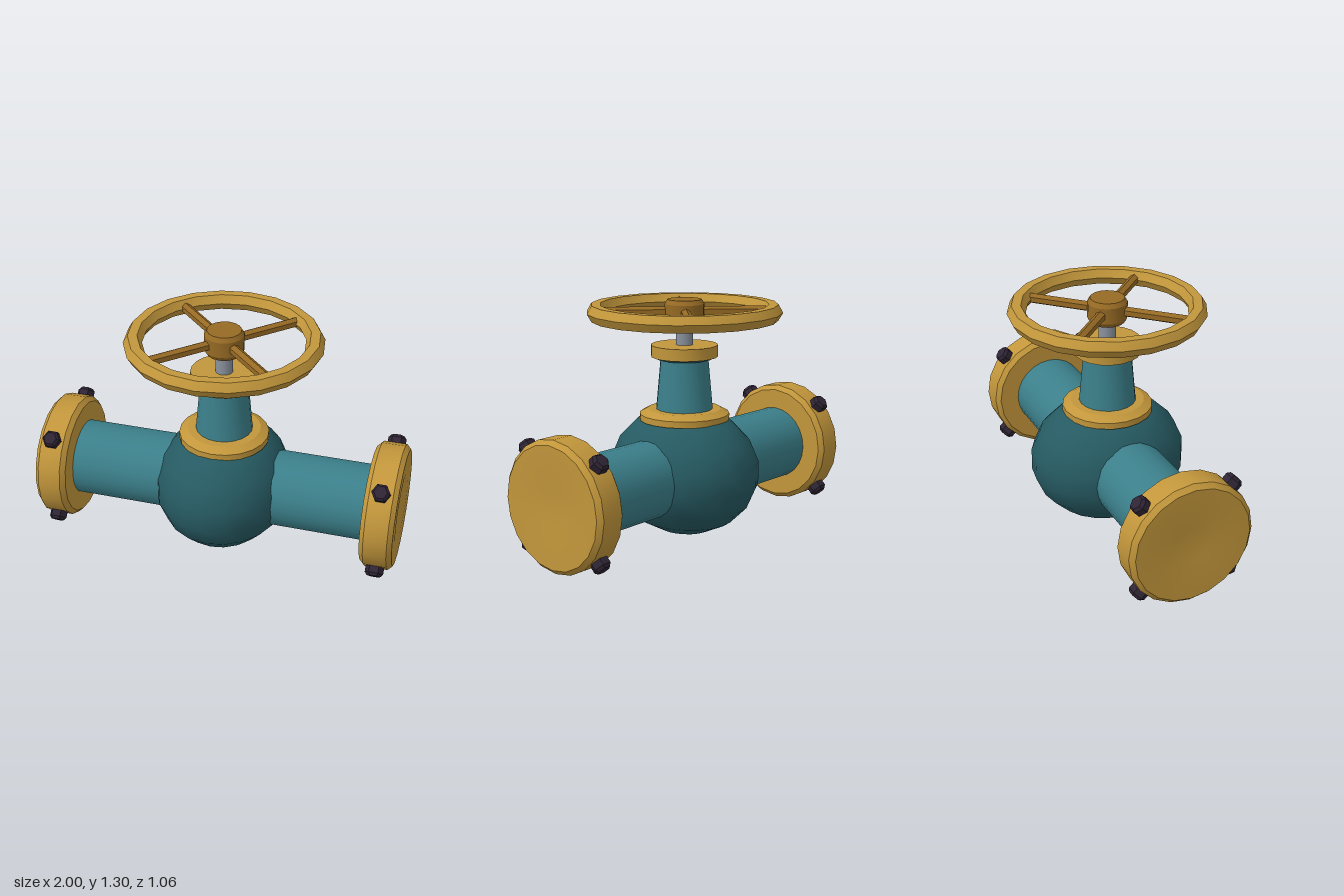
import * as THREE from 'three';
import { toCreasedNormals } from 'three/addons/utils/BufferGeometryUtils.js';

const material = (name, color) => {
  const m = new THREE.MeshStandardMaterial({ color });
  m.name = name;
  return m;
};

export function createModel() {
  const teal = material('teal paint', 0x3b7f8a);
  const darkTeal = material('dark teal paint', 0x265a62);
  const brass = material('brass', 0xc2963b);
  const bronze = material('dark bronze', 0x966a24);
  const steel = material('steel', 0x8a929e);
  const iron = material('dark iron', 0x2e2434);

  const model = new THREE.Group();
  model.name = 'gateValve';
  const AXIS = 0.36; // height of the pipe axis

  const add = (name, geometry, mat, parent = model) => {
    const mesh = new THREE.Mesh(geometry, mat);
    mesh.name = name;
    parent.add(mesh);
    return mesh;
  };
  // Turned part: [radius, height] pairs from bottom to top
  const turned = (points, sides) => toCreasedNormals(
    new THREE.LatheGeometry(points.map(([r, y]) => new THREE.Vector2(r, y)), sides), 0.5);

  // Bulbous valve body
  const body = add('body', new THREE.SphereGeometry(1, 20, 9), darkTeal);
  body.scale.set(0.376, 0.356, 0.435);
  body.position.y = AXIS;

  // Pipe ends, each with a bevelled flange and four radial bolts
  const flangeShape = turned([[0, 0.825], [0.32, 0.825], [0.345, 0.85], [0.345, 0.975],
    [0.32, 1], [0.2, 0.998], [0.1, 0.99], [0, 0.986]], 20);
  const pipeShape = new THREE.CylinderGeometry(0.21, 0.21, 0.63, 24, 1, true);
  const boltShape = turned([[0, 0.3], [0.05, 0.3], [0.05, 0.376], [0.036, 0.392], [0, 0.392]], 6);
  for (const side of [1, -1]) {
    const end = new THREE.Group();
    end.name = side > 0 ? 'leftPipeEnd' : 'rightPipeEnd';
    end.position.y = AXIS;
    end.rotation.z = -side * Math.PI / 2;
    model.add(end);
    add('pipe', pipeShape, teal, end).position.y = 0.525;
    add('flange', flangeShape, brass, end);
    for (let i = 0; i < 4; i++) {
      const bolt = add('flangeBolt', boltShape, iron);
      const angle = Math.PI / 4 + i * Math.PI / 2;
      bolt.rotation.set(angle, Math.PI / 6, 0);
      bolt.position.set(side * 0.912, AXIS, 0);
    }
  }

  // Bonnet: collar, tapered neck and gland
  add('bonnetCollar', turned([[0, 0.645], [0.245, 0.645], [0.245, 0.68], [0.2, 0.705], [0, 0.705]], 20), brass);
  add('bonnetNeck', turned([[0.155, 0.7], [0.13, 0.978], [0.15, 0.978], [0.172, 0.992], [0, 0.992]], 20), teal);
  add('gland', turned([[0, 0.991], [0.181, 0.991], [0.181, 1.055], [0, 1.055]], 20), brass);

  // Stem
  const stem = add('stem', new THREE.CylinderGeometry(0.047, 0.047, 0.16, 16), steel);
  stem.position.y = 1.11;

  // Handwheel: six-sided rim, hub and four diagonal spokes
  const wheel = new THREE.Group();
  wheel.name = 'handwheel';
  wheel.position.y = 1.233;
  model.add(wheel);
  const rim = add('wheelRim', toCreasedNormals(new THREE.TorusGeometry(0.478, 0.05, 6, 20), 0.5), brass, wheel);
  rim.rotation.x = Math.PI / 2;
  add('wheelHub', turned([[0, -0.067], [0.092, -0.067], [0.107, -0.043], [0.107, 0.043],
    [0.092, 0.067], [0, 0.067]], 16), bronze, wheel);
  const spokeShape = toCreasedNormals(new THREE.CylinderGeometry(0.028, 0.028, 0.38, 6), 0.5);
  spokeShape.translate(0, 0.27, 0);
  for (let i = 0; i < 4; i++) {
    const spoke = add('wheelSpoke', spokeShape, bronze, wheel);
    spoke.rotation.set(Math.PI / 2, 0, Math.PI / 4 + i * Math.PI / 2);
  }
  return model;
}
